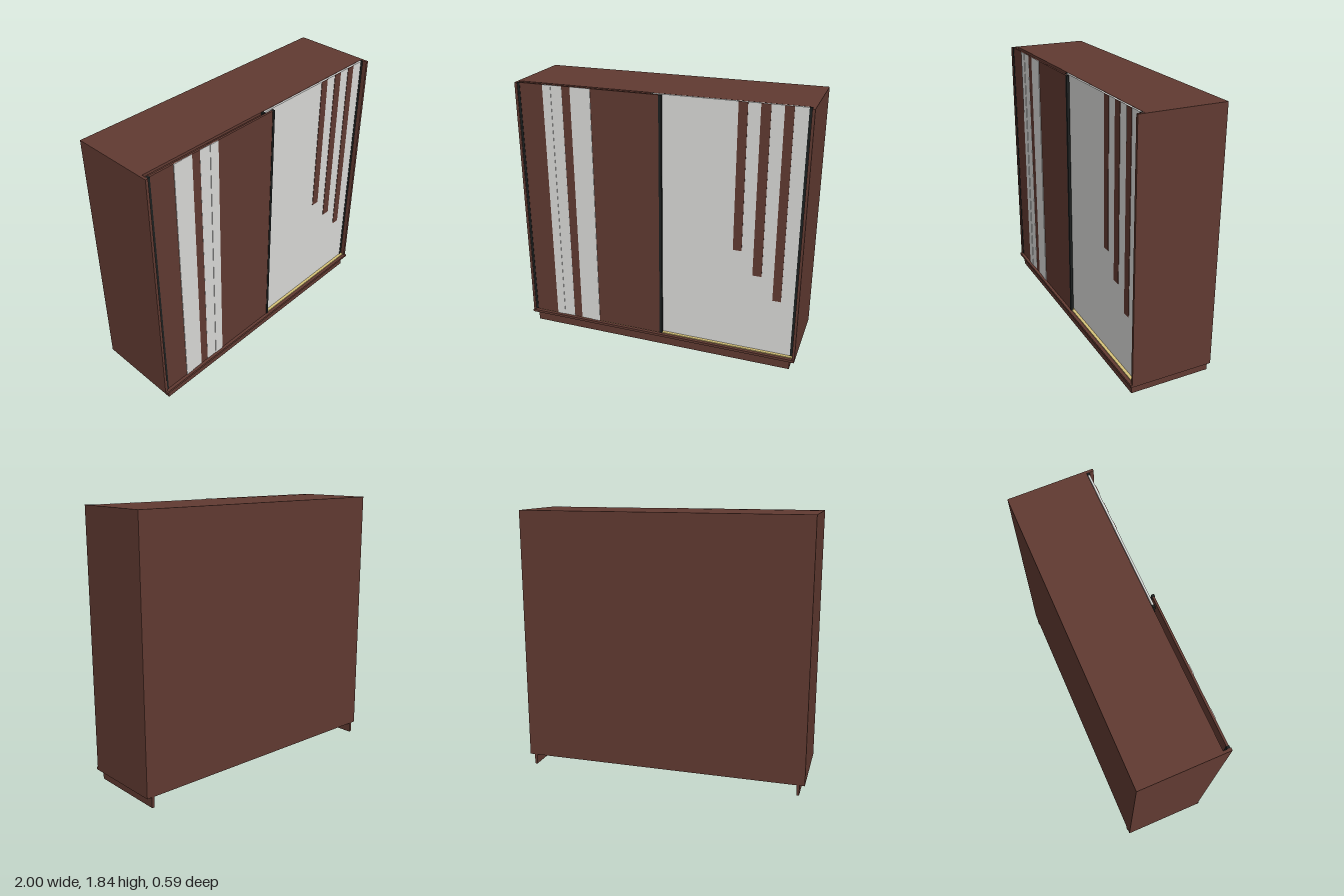
import * as THREE from 'three';

export function createModel() {
  const model = new THREE.Group();
  model.name = 'slidingWardrobe';
  const mat = (name, color) => {
    const m = new THREE.MeshStandardMaterial({ color });
    m.name = name;
    return m;
  };
  const wood = mat('dark brown wood', 0x613a31);
  const white = mat('white glass', 0xdadad8);
  const black = mat('black trim', 0x1c1f1f);
  const brass = mat('brass rail', 0xd8c47a);

  // Box given by its two extremes on every axis
  const box = (parent, name, material, x0, x1, y0, y1, z0, z1) => {
    const mesh = new THREE.Mesh(new THREE.BoxGeometry(x1 - x0, y1 - y0, z1 - z0), material);
    mesh.position.set((x0 + x1) / 2, (y0 + y1) / 2, (z0 + z1) / 2);
    mesh.name = name;
    parent.add(mesh);
  };
  const group = (name) => {
    const g = new THREE.Group();
    g.name = name;
    model.add(g);
    return g;
  };
  const H = 1.84, BACK = -0.295, FLOOR = 0.09;

  // Carcass: base board, sides, back, top and a middle divider
  const carcass = group('carcass');
  box(carcass, 'baseBoard', wood, -1, 1, 0.072, FLOOR, BACK, 0.295);
  box(carcass, 'backPanel', wood, -0.982, 0.982, FLOOR, H - 0.018, BACK, BACK + 0.01);
  box(carcass, 'topBoard', wood, -0.982, 0.982, H - 0.018, H, BACK, 0.235);
  box(carcass, 'divider', wood, -0.009, 0.009, FLOOR, H - 0.018, BACK + 0.01, 0.225);
  for (const [name, s] of [['left', 1], ['right', -1]]) {
    const a = s * 0.982, b = s;
    box(carcass, name + 'Side', wood, Math.min(a, b), Math.max(a, b), FLOOR, H, BACK, 0.284);
  }

  // Recessed plinth, open at the back
  const plinth = group('plinth');
  box(plinth, 'plinthFront', wood, -0.965, 0.965, 0, 0.072, 0.255, 0.272);
  for (const [name, x] of [['plinthRight', -0.965], ['plinthLeft', 0.947]])
    box(plinth, name, wood, x, x + 0.018, 0, 0.072, BACK, 0.255);

  // Bottom rail for both doors
  box(model, 'bottomRail', brass, -0.982, 0.982, FLOOR, 0.096, 0.237, 0.272);

  // Front sliding door: wood with white strips
  const frontDoor = group('frontDoor');
  box(frontDoor, 'doorPanel', wood, -0.965, 0.022, FLOOR + 0.004, H, 0.262, 0.276);
  for (const [x0, x1, lift] of [[-0.795, -0.735, 0.004], [-0.735, -0.655, 0.001],
    [-0.595, -0.515, 0.001], [-0.515, -0.45, 0.004]])
    box(frontDoor, 'whiteStrip', white, x0, x1, FLOOR + 0.004, H, 0.2755, 0.276 + lift);
  box(frontDoor, 'outerHandle', black, -0.982, -0.965, FLOOR + 0.004, H, 0.26, 0.279);
  box(frontDoor, 'innerHandle', black, 0.022, 0.04, FLOOR + 0.004, H, 0.26, 0.279);

  // Rear sliding door: white with hanging wood strips
  const rearDoor = group('rearDoor');
  box(rearDoor, 'doorPanel', white, -0.022, 0.962, 0.096, H, 0.238, 0.251);
  for (const [x0, x1, y0] of [[0.533, 0.592, 0.835], [0.673, 0.735, 0.668], [0.817, 0.875, 0.503]])
    box(rearDoor, 'woodStrip', wood, x0, x1, y0, H, 0.2505, 0.254);
  box(rearDoor, 'outerHandle', black, 0.962, 0.981, 0.096, H, 0.236, 0.254);
  box(rearDoor, 'innerHandle', black, -0.04, -0.022, 0.096, H, 0.236, 0.254);

  return model;
}
